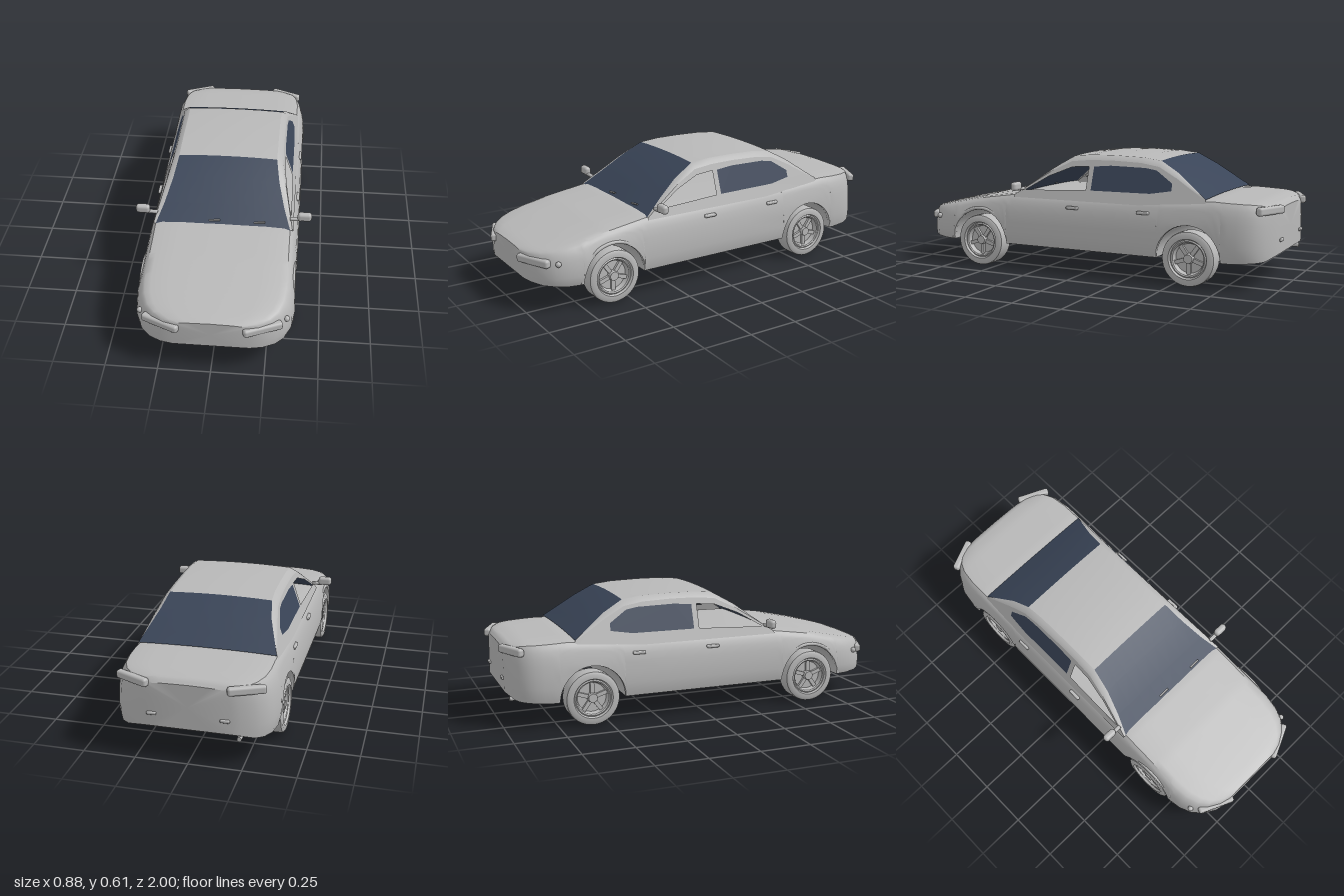
import * as THREE from 'three';
import { toCreasedNormals } from 'three/addons/utils/BufferGeometryUtils.js';
import { RoundedBoxGeometry } from 'three/addons/geometries/RoundedBoxGeometry.js';

const paint = new THREE.MeshStandardMaterial({ color: 0xb8b8b8, side: THREE.DoubleSide });
paint.name = 'light grey';
const glass = new THREE.MeshStandardMaterial({ color: 0x3a4558, side: THREE.DoubleSide });
glass.name = 'dark blue glass';

// Linear interpolation through [key, value] pairs with rising keys
function sample(table, k) {
  let i = 1;
  while (i < table.length - 1 && k > table[i][0]) i++;
  const [a, va] = table[i - 1], [b, vb] = table[i];
  return va + (vb - va) * THREE.MathUtils.clamp((k - a) / (b - a), 0, 1);
}

// Skin over rows of points; optionally closed around with end caps
function skin(rows, closed) {
  const n = rows[0].length, pos = rows.flat(2), idx = [];
  for (let i = 0; i < rows.length - 1; i++) {
    for (let j = 0; j < (closed ? n : n - 1); j++) {
      const k = (j + 1) % n, a = i * n + j, b = a + n, c = i * n + k, d = c + n;
      idx.push(a, b, c, b, d, c);
    }
  }
  if (closed) {
    const last = (rows.length - 1) * n, mid = rows.length * n;
    for (const r of [rows[0], rows[rows.length - 1]]) pos.push(0, (r[0][1] + r[n >> 1][1]) / 2, r[0][2]);
    for (let j = 0; j < n; j++) {
      const k = (j + 1) % n;
      idx.push(mid, j, k, mid + 1, last + k, last + j);
    }
  }
  const g = new THREE.BufferGeometry();
  g.setAttribute('position', new THREE.Float32BufferAttribute(pos, 3));
  g.setIndex(idx);
  return toCreasedNormals(g, 0.6);
}

const FRONT = 0.59, REAR = -0.585, AXLE_Y = 0.135, ARCH = 0.163;
const halfWidth = [[-0.98, 0.2], [-0.97, 0.24], [-0.945, 0.3], [-0.91, 0.342], [-0.86, 0.368], [-0.78, 0.38],
  [0.74, 0.38], [0.82, 0.368], [0.88, 0.342], [0.925, 0.3], [0.96, 0.24], [0.975, 0.18]];
const topLine = [[-0.98, 0.385], [-0.96, 0.405], [-0.9, 0.418], [-0.7, 0.425], [-0.5, 0.415], [0, 0.402],
  [0.4, 0.397], [0.61, 0.367], [0.81, 0.325], [0.94, 0.296], [0.975, 0.284]];
const bottomLine = [[-0.98, 0.165], [-0.94, 0.14], [-0.8, 0.13], [0.8, 0.13], [0.93, 0.137], [0.975, 0.147]];
const flank = [[0, 0.972], [0.1, 0.99], [0.3, 1], [0.6, 0.985], [0.78, 0.957], [0.92, 0.925], [1, 0.88]];

// One closed cross-section of the lower body
function bodySection(z, b) {
  const w = sample(halfWidth, z), t = sample(topLine, z), edge = t - 0.012;
  const half = [[0, b], [w * 0.6, b]];
  for (const u of [0, 0.1, 0.25, 0.45, 0.65, 0.78, 0.88, 0.95, 1]) {
    const y = b + (edge - b) * u;
    half.push([w * sample(flank, (y - 0.13) / (edge - 0.13)), y]);
  }
  half.push([w * 0.8, t - 0.006], [w * 0.55, t - 0.002], [0, t]);
  const other = half.slice(1, -1).reverse().map(([x, y]) => [-x, y]);
  return [...half, ...other].map(([x, y]) => [x, y, z]);
}

function bodyGeometry() {
  const rows = [];
  const plain = (...zs) => zs.forEach(z => rows.push(bodySection(z, sample(bottomLine, z))));
  const arch = c => {
    plain(c + ARCH);
    for (let i = 0; i <= 20; i++) {
      const a = Math.PI * i / 20;
      rows.push(bodySection(c + ARCH * Math.cos(a), AXLE_Y + ARCH * Math.sin(a)));
    }
    plain(c - ARCH);
  };
  plain(0.975, 0.96, 0.945, 0.925, 0.9, 0.88, 0.85, 0.82, 0.78);
  arch(FRONT);
  plain(0.4, 0.2, 0, -0.2);
  arch(REAR);
  plain(-0.78, -0.82, -0.86, -0.885, -0.91, -0.93, -0.945, -0.96, -0.97, -0.98);
  return skin(rows, true);
}

// Cabin stations: z, centre height, panel half width, height where it meets the side
const cabin = [[0.39, 0.392, 0.335, 0.386], [0.3, 0.459, 0.3, 0.445], [0.19, 0.539, 0.268, 0.515],
  [0.08, 0.601, 0.25, 0.568], [-0.02, 0.61, 0.25, 0.578], [-0.15, 0.611, 0.25, 0.58], [-0.3, 0.607, 0.25, 0.575],
  [-0.4, 0.595, 0.255, 0.56], [-0.5, 0.54, 0.275, 0.51], [-0.6, 0.469, 0.312, 0.45], [-0.66, 0.427, 0.335, 0.415]];
const sideX = y => 0.345 - (y - 0.39) * 0.345;

// Middle panel (windscreen, roof, rear window) over a range of stations
const panel = (from, to) => skin(cabin.slice(from, to + 1).map(([z, y, w]) =>
  [1, 0.75, 0.5, 0.25, 0, -0.25, -0.5, -0.75, -1].map(u => [-u * w, y - 0.007 * u * u, z]).reverse()), false);

// Rounded rail joining the middle panel to the side wall
const rail = s => skin(cabin.map(([z, y, w, ys]) => {
  const x = sideX(ys), top = y - 0.007;
  return [[w, top], [w + (x - w) * 0.6, top + (ys - top) * 0.38], [x, ys]].map(p => [s * p[0], p[1], z]);
}), false);

const frontWindow = [[0.327, 0.415], [0.2, 0.49], [0.075, 0.54], [-0.02, 0.547], [-0.02, 0.43]];
const rearWindow = [[-0.048, 0.43], [-0.048, 0.547], [-0.14, 0.555], [-0.33, 0.552], [-0.39, 0.543],
  [-0.48, 0.485], [-0.48, 0.45], [-0.37, 0.432]];
const vectors = pts => pts.map(p => new THREE.Vector2(...p));

// Flat outline in z and y, leaned inward as a cabin side
function leaned(shape, s) {
  const g = new THREE.ShapeGeometry(shape), p = g.attributes.position;
  for (let i = 0; i < p.count; i++) p.setXYZ(i, s * sideX(p.getY(i)), p.getY(i), p.getX(i));
  g.computeVertexNormals();
  return g;
}

function wheel() {
  const g = new THREE.Group();
  const profile = [[0, -0.03], [0.082, -0.03], [0.09, -0.0475], [0.12, -0.0475], [0.131, -0.041], [0.134, -0.03],
    [0.134, 0.03], [0.131, 0.041], [0.12, 0.0475], [0.098, 0.0475], [0.092, 0.036], [0.086, 0.04],
    [0.08, 0.036], [0.072, 0.012], [0, 0.012]];
  const tyre = toCreasedNormals(new THREE.LatheGeometry(vectors(profile), 40), 0.6);
  add(g, 'tyreAndRim', tyre, paint);
  add(g, 'hub', new THREE.CylinderGeometry(0.022, 0.026, 0.03, 20), paint, 0, 0.024, 0);
  for (let i = 0; i < 5; i++) {
    const a = i * Math.PI * 2 / 5;
    add(g, 'spoke', new THREE.BoxGeometry(0.06, 0.014, 0.02), paint, Math.cos(a) * 0.046, 0.018, Math.sin(a) * 0.046)
      .rotation.y = -a;
  }
  return g;
}

function add(parent, name, geometry, material, x = 0, y = 0, z = 0) {
  const m = new THREE.Mesh(geometry, material);
  m.name = name;
  m.position.set(x, y, z);
  parent.add(m);
  return m;
}

const rounded = (x, y, z, r) => new RoundedBoxGeometry(x, y, z, 3, r);

export function createModel() {
  const car = new THREE.Group();
  car.name = 'car';
  add(car, 'body', bodyGeometry(), paint);
  add(car, 'windscreen', panel(0, 3), glass);
  add(car, 'roof', panel(3, 7), paint);
  add(car, 'rearWindow', panel(7, 10), glass);

  for (const s of [1, -1]) {
    const side = s > 0 ? 'left' : 'right';
    // Cabin side with an open front window and a glazed rear one
    const wall = new THREE.Shape(vectors([[0.39, 0.375], ...cabin.map(c => [c[0], c[3]]), [-0.66, 0.375]]));
    wall.holes.push(new THREE.Path(vectors(frontWindow)), new THREE.Path(vectors(rearWindow)));
    add(car, side + 'CabinSide', leaned(wall, s), paint);
    add(car, side + 'RearSideGlass', leaned(new THREE.Shape(vectors(rearWindow)), s), glass);
    add(car, side + 'RoofRail', rail(s), paint);

    // Wheels and arch lips
    for (const [end, z] of [['Front', FRONT], ['Rear', REAR]]) {
      const w = wheel();
      w.name = side + end + 'Wheel';
      w.position.set(s * 0.3275, AXLE_Y, z);
      w.rotation.z = -s * Math.PI / 2;
      car.add(w);
      add(car, side + end + 'ArchLip', new THREE.TorusGeometry(0.17, 0.009, 8, 32, Math.PI), paint, s * 0.364, AXLE_Y, z)
        .rotation.y = Math.PI / 2;
    }

    // Lamps wrapped around the corners
    add(car, side + 'Headlamp', rounded(0.19, 0.04, 0.035, 0.012), paint, s * 0.236, 0.247, 0.945).rotation.y = s * 0.42;
    add(car, side + 'TailLamp', rounded(0.175, 0.04, 0.035, 0.012), paint, s * 0.262, 0.38, -0.953).rotation.y = -s * 0.42;
    add(car, side + 'Indicator', new THREE.SphereGeometry(0.014, 16, 10), paint, s * 0.343, 0.246, 0.868);
    add(car, side + 'RearReflector', rounded(0.045, 0.015, 0.016, 0.005), paint, s * 0.17, 0.23, -0.982);

    // Mirrors and door handles
    add(car, side + 'Mirror', rounded(0.07, 0.044, 0.035, 0.015), paint, s * 0.403, 0.439, 0.342);
    add(car, side + 'MirrorStem', rounded(0.06, 0.016, 0.02, 0.006), paint, s * 0.36, 0.422, 0.342);
    for (const z of [0.04, -0.348]) {
      add(car, side + 'DoorHandle', rounded(0.02, 0.016, 0.066, 0.006), paint, s * 0.364, 0.341, z);
    }
  }

  // Wiper blades and exhaust
  for (const x of [-0.042, 0.182]) {
    add(car, 'wiper', new THREE.BoxGeometry(0.056, 0.005, 0.008), paint, x, 0.41, 0.371).rotation.z = 0.12;
  }
  add(car, 'exhaust', new THREE.CylinderGeometry(0.011, 0.011, 0.06, 16), paint, -0.23, 0.136, -0.933)
    .rotation.x = Math.PI / 2;
  return car;
}
